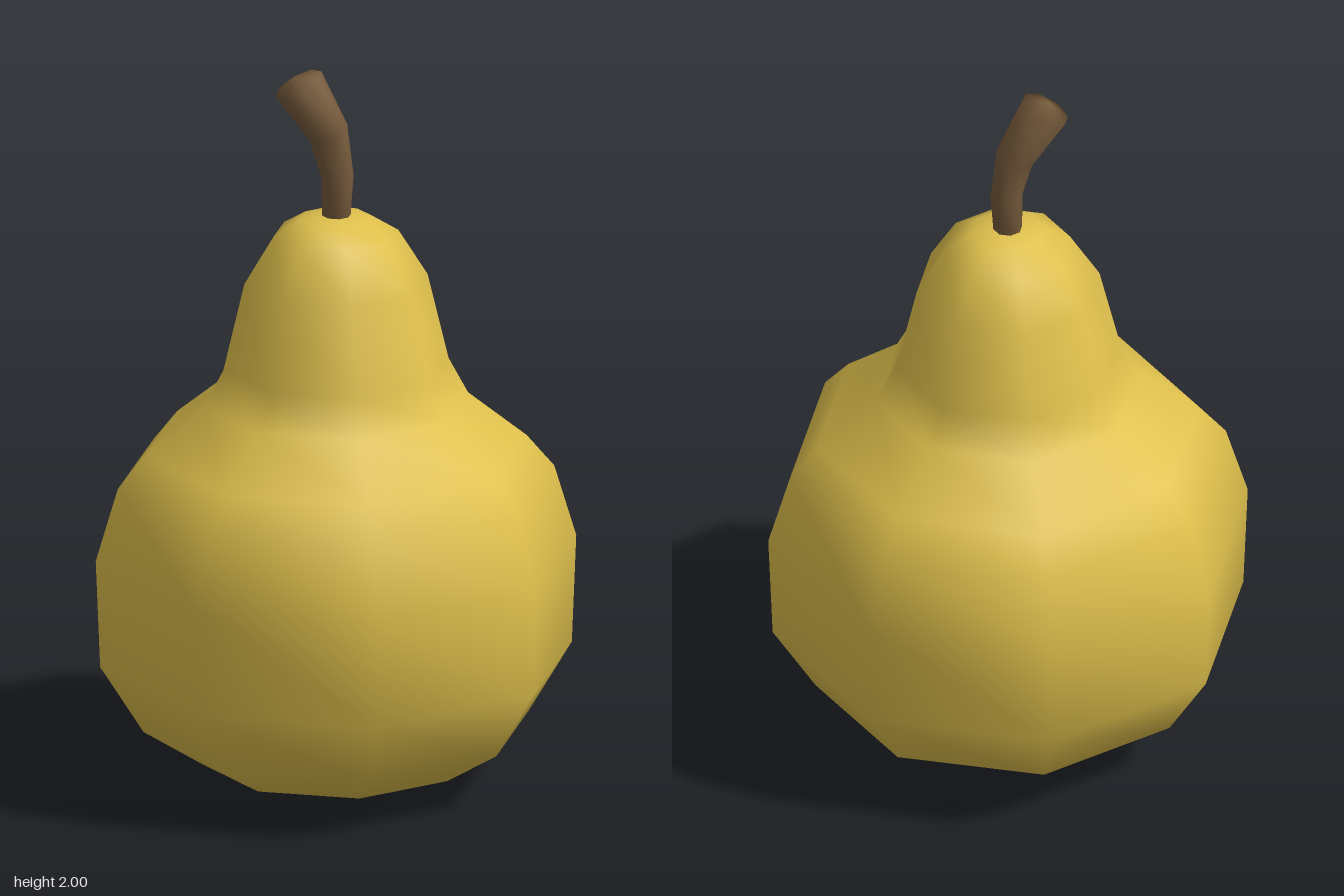
import * as THREE from 'three';
import { mergeVertices } from 'three/addons/utils/BufferGeometryUtils.js';

const SIDES = 8;

// Weld the lathe seam so the low-poly form shades smoothly all round
function smooth(geometry) {
  geometry.deleteAttribute('uv');
  geometry.deleteAttribute('normal');
  const welded = mergeVertices(geometry, 1e-4);
  welded.computeVertexNormals();
  return welded;
}

function lathe(points) {
  return new THREE.LatheGeometry(points.map(([r, y]) => new THREE.Vector2(r, y)), SIDES);
}

function part(name, geometry, color) {
  const mesh = new THREE.Mesh(geometry, new THREE.MeshStandardMaterial({ color }));
  mesh.name = name;
  return mesh;
}

// Eight-sided pear body, slightly dimpled at the top
function createBody() {
  return smooth(lathe([
    [0, 0.01], [0.11, 0], [0.365, 0.06], [0.525, 0.16], [0.643, 0.35],
    [0.655, 0.65], [0.595, 0.85], [0.52, 0.94], [0.36, 1.07], [0.307, 1.17],
    [0.25, 1.41], [0.17, 1.54], [0.1, 1.583], [0.03, 1.593], [0, 1.58],
  ]));
}

// Stem: rings of a lathe moved onto a bending, widening centre line
function createStem() {
  // centre x, centre y, radius, lean towards -x
  const rings = [
    [0, 1.56, 0, 0],
    [0, 1.56, 0.038, 0],
    [0.004, 1.7, 0.044, 0.03],
    [-0.02, 1.825, 0.055, 0.4],
    [-0.102, 1.967, 0.07, 0.48],
    [-0.112, 1.988, 0, 0.48],
  ];
  const geometry = lathe(rings.map(([, , r], i) => [r, i]));
  const pos = geometry.attributes.position;
  for (let i = 0; i < pos.count; i++) {
    const [cx, cy, , lean] = rings[Math.round(pos.getY(i))];
    const x = pos.getX(i);
    pos.setXY(i, cx + x * Math.cos(lean), cy + x * Math.sin(lean));
  }
  return smooth(geometry);
}

export function createModel() {
  const pear = new THREE.Group();
  pear.name = 'pear';
  pear.add(part('body', createBody(), 0xdfc04c));
  pear.add(part('stem', createStem(), 0x775b3c));
  return pear;
}
